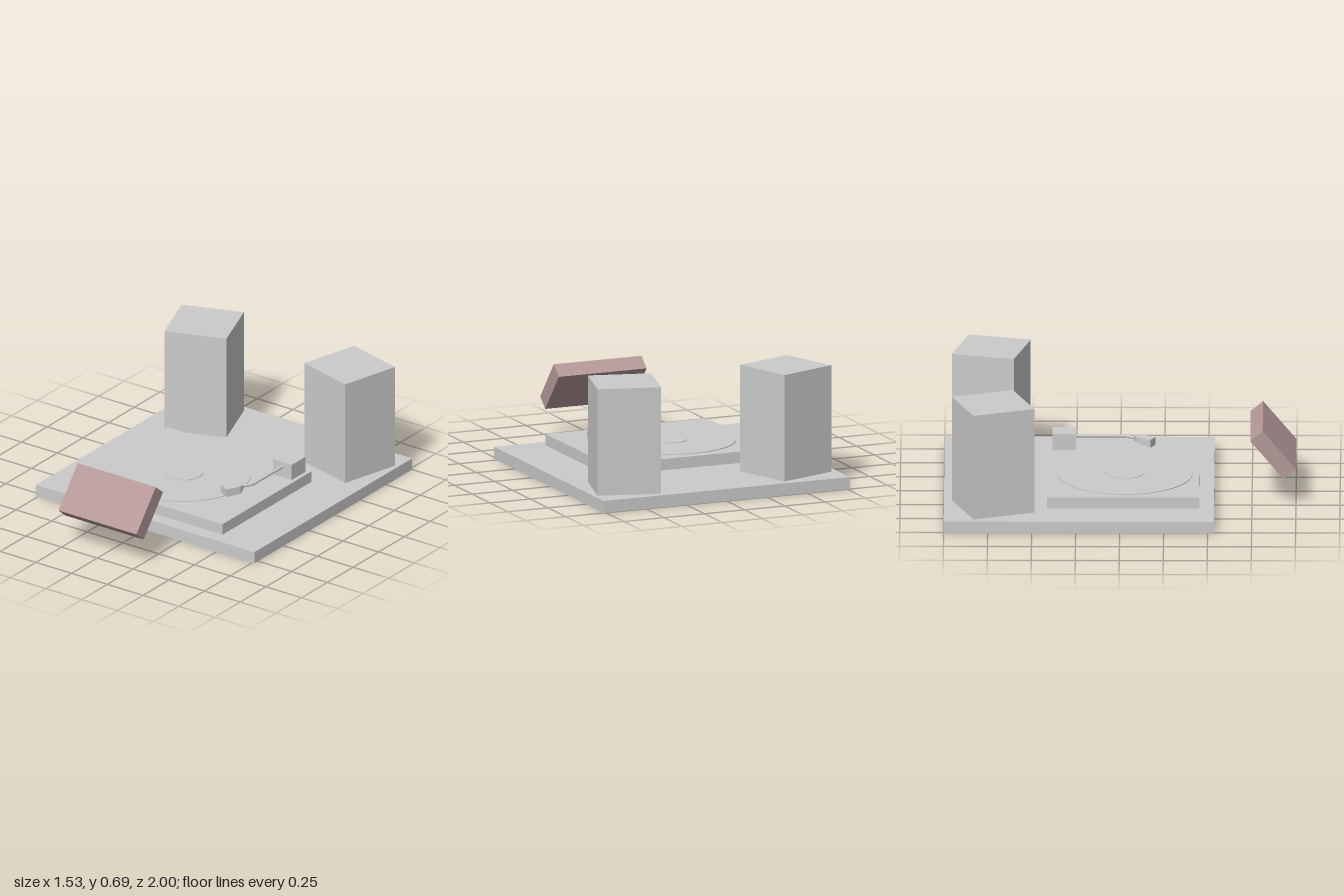
import * as THREE from 'three';

export function createModel() {
  const model = new THREE.Group();
  const grey = new THREE.MeshStandardMaterial({ color: 0xcccccc });
  const brown = new THREE.MeshStandardMaterial({ color: 0xb59999 });

  function add(name, geometry, x = 0, y = 0, z = 0, material = grey) {
    const mesh = new THREE.Mesh(geometry, material);
    mesh.name = name;
    mesh.position.set(x, y, z);
    model.add(mesh);
    return mesh;
  }
  const box = (w, h, d) => new THREE.BoxGeometry(w, h, d);

  // Table top and turntable deck
  add('tableTop', box(1.53, 0.07, 1.535), 0, 0.035, -0.2325);
  add('deck', box(1.005, 0.066, 0.865), -0.02, 0.103, 0.02);

  // Record and its centre label
  add('record', new THREE.CylinderGeometry(0.385, 0.385, 0.006, 64), -0.093, 0.138, 0.028);
  add('recordLabel', new THREE.CylinderGeometry(0.11, 0.11, 0.004, 48), -0.093, 0.143, 0.028);

  // Speakers, both turned inwards
  add('rightSpeaker', box(0.367, 0.62, 0.367), -0.49, 0.38, -0.72)
    .rotation.y = THREE.MathUtils.degToRad(20);
  add('leftSpeaker', box(0.365, 0.62, 0.365), 0.518, 0.38, -0.735)
    .rotation.y = THREE.MathUtils.degToRad(-15);

  // Tone arm: pivot block and bent tube
  add('armPivot', box(0.13, 0.096, 0.134), 0.394, 0.183, -0.32);
  const path = new THREE.CurvePath();
  const bend = [[0.39, -0.27], [0.39, 0.03], [0.353, 0.095]]
    .map(([x, z]) => new THREE.Vector3(x, 0.2, z));
  path.add(new THREE.LineCurve3(bend[0], bend[1]));
  path.add(new THREE.LineCurve3(bend[1], bend[2]));
  add('armTube', new THREE.TubeGeometry(path, 24, 0.009, 10, false));

  // Head shell: tapered plan, with the underside rising towards the arm
  const outline = [[0.27, 0.17], [0.33, 0.2], [0.37, 0.122], [0.37, 0.09], [0.356, 0.078], [0.317, 0.092]];
  const plan = new THREE.Shape(outline.map(([x, z]) => new THREE.Vector2(x, -z)));
  const shell = new THREE.ExtrudeGeometry(plan, { depth: 0.047, bevelEnabled: false });
  shell.rotateX(-Math.PI / 2);
  const p = shell.attributes.position;
  for (let i = 0; i < p.count; i++) {
    if (p.getY(i) < 0.01 && p.getZ(i) < 0.1) p.setY(i, 0.017);
  }
  shell.computeVertexNormals();
  add('headShell', shell, 0, 0.168, 0);
  const needle = add('needle', new THREE.ConeGeometry(0.008, 0.022, 8), 0.313, 0.164, 0.162);
  needle.rotation.x = Math.PI;

  // Floating tilted box in front
  add('tiltedBox', box(0.546, 0.294, 0.092), 0, 0.307, 0.87, brown)
    .rotation.x = THREE.MathUtils.degToRad(-40);

  return model;
}
